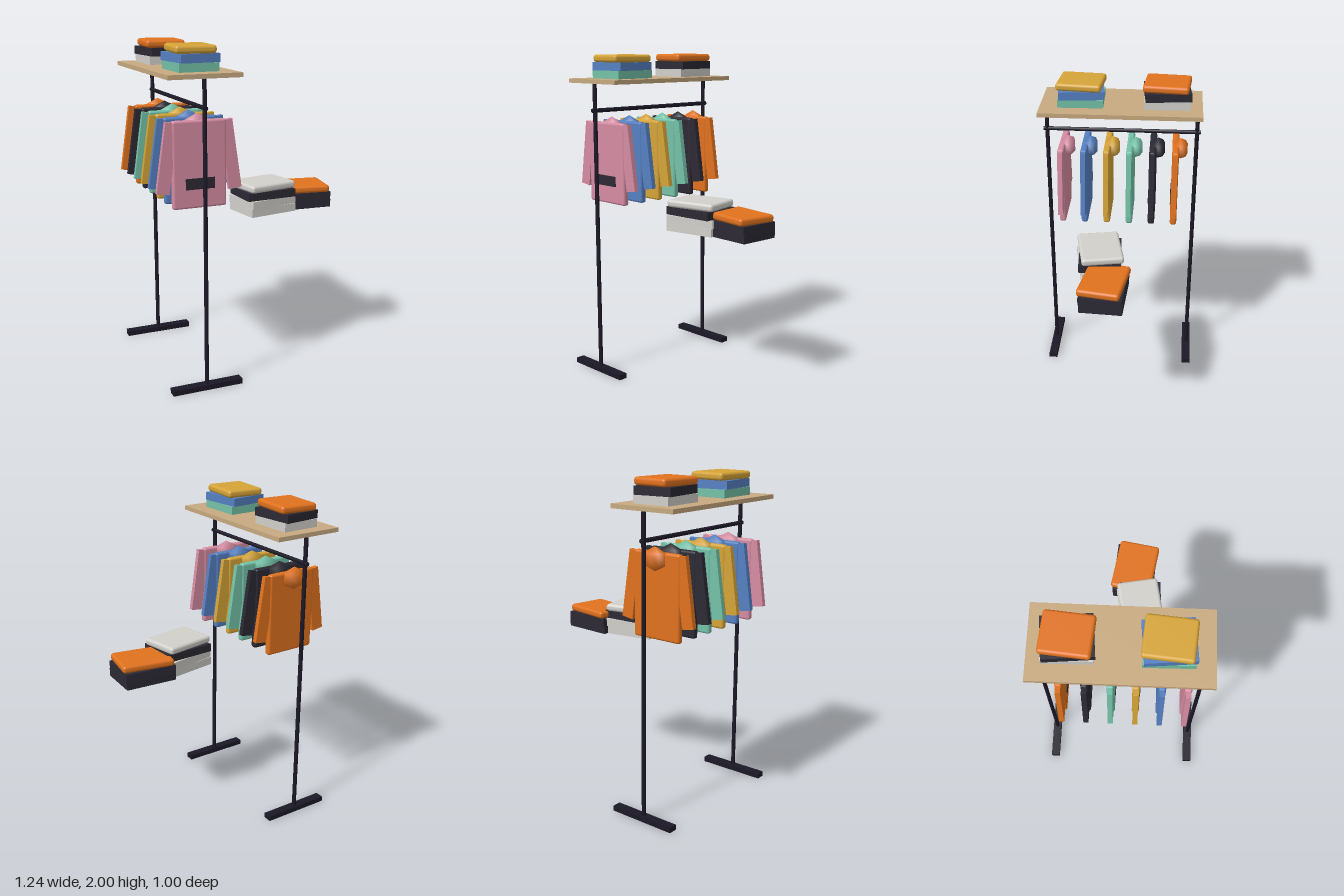
import * as THREE from 'three';
import { RoundedBoxGeometry } from 'three/addons/geometries/RoundedBoxGeometry.js';

const COLORS = {
  pink: 0xd68ca2, blue: 0x5580c2, yellow: 0xd6a438, teal: 0x74c2a8,
  dark: 0x2c2934, orange: 0xe0721e, wood: 0xc8aa80, metal: 0x1c1826, pale: 0xd2d0cb,
};
const materials = {};
for (const key in COLORS) materials[key] = new THREE.MeshStandardMaterial({ color: COLORS[key] });

function add(parent, name, geometry, color, x = 0, y = 0, z = 0) {
  const mesh = new THREE.Mesh(geometry, materials[color]);
  mesh.name = name;
  mesh.position.set(x, y, z);
  parent.add(mesh);
  return mesh;
}

const RACK_X = -0.367;

// Uprights, feet, hanging rail and top shelf
function makeRack() {
  const rack = new THREE.Group();
  rack.name = 'rack';
  rack.position.x = RACK_X;
  for (const z of [0.47, -0.47]) {
    add(rack, 'post', new THREE.CylinderGeometry(0.013, 0.013, 1.81, 8), 'metal', 0, 0.925, z);
    add(rack, 'foot', new THREE.BoxGeometry(0.435, 0.032, 0.055), 'metal', 0, 0.016, z);
  }
  const rail = add(rack, 'rail', new THREE.CylinderGeometry(0.013, 0.013, 0.985, 8), 'metal', 0, 1.667, 0);
  rail.rotation.x = Math.PI / 2;
  add(rack, 'shelf', new THREE.BoxGeometry(0.435, 0.026, 0.99), 'wood', 0, 1.842, 0);
  return rack;
}

// Hooded top: flat body, two angled sleeves, faceted hood and front patch
function makeHoodie(color, z) {
  const hoodie = new THREE.Group();
  hoodie.name = 'hoodie';
  hoodie.position.set(RACK_X, 0, z);
  add(hoodie, 'body', new RoundedBoxGeometry(0.325, 0.505, 0.042, 2, 0.014), color, 0, 1.339, 0);
  for (const side of [1, -1]) {
    const sleeve = add(hoodie, 'sleeve', new THREE.BoxGeometry(0.076, 0.405, 0.03), color, side * 0.19, 1.383, 0);
    sleeve.rotation.z = side * 0.145;
  }
  const hood = add(hoodie, 'hood', new THREE.SphereGeometry(1, 8, 3), color, 0, 1.555, -0.031);
  hood.scale.set(0.082, 0.07, 0.05);
  add(hoodie, 'frontPatch', new THREE.BoxGeometry(0.175, 0.064, 0.008), 'dark', 0, 1.23, 0.021);
  return hoodie;
}

// Folded garments stacked upward; each layer is [color, turn], the top one is softer
function makeStack(name, layers, width, depth, step, x, y, z) {
  const stack = new THREE.Group();
  stack.name = name;
  stack.position.set(x, y, z);
  layers.forEach(([color, turn], i) => {
    const top = i === layers.length - 1;
    const height = top ? step - 0.003 : step;
    const geometry = top
      ? new RoundedBoxGeometry(width, height, depth, 3, 0.018)
      : new THREE.BoxGeometry(width, height, depth);
    add(stack, 'foldedGarment', geometry, color, 0, i * step + height / 2, 0).rotation.y = turn;
  });
  return stack;
}

export function createModel() {
  const model = new THREE.Group();
  model.name = 'clothesDisplay';
  model.add(makeRack());

  // Row of hanging hoodies
  ['pink', 'blue', 'yellow', 'teal', 'dark', 'orange'].forEach((color, i) => {
    model.add(makeHoodie(color, 0.371 - i * 0.1425));
  });

  // Stacks on the shelf
  model.add(makeStack('frontShelfStack', [['teal', 0.02], ['blue', 0.095], ['yellow', -0.085]],
    0.238, 0.278, 0.0493, RACK_X, 1.855, 0.248));
  model.add(makeStack('backShelfStack', [['pale', 0.02], ['dark', 0.095], ['orange', -0.085]],
    0.238, 0.278, 0.0493, RACK_X, 1.855, -0.278));

  // Stacks beside the rack
  model.add(makeStack('paleStack', [['pale', 0.17], ['pale', 0.21], ['dark', 0.06], ['pale', 0.19]],
    0.325, 0.255, 0.049, 0.16, 0.948, 0.095));
  model.add(makeStack('darkStack', [['dark', -0.06], ['dark', -0.08], ['orange', -0.165]],
    0.325, 0.255, 0.049, 0.44, 0.948, 0.05));

  return model;
}
